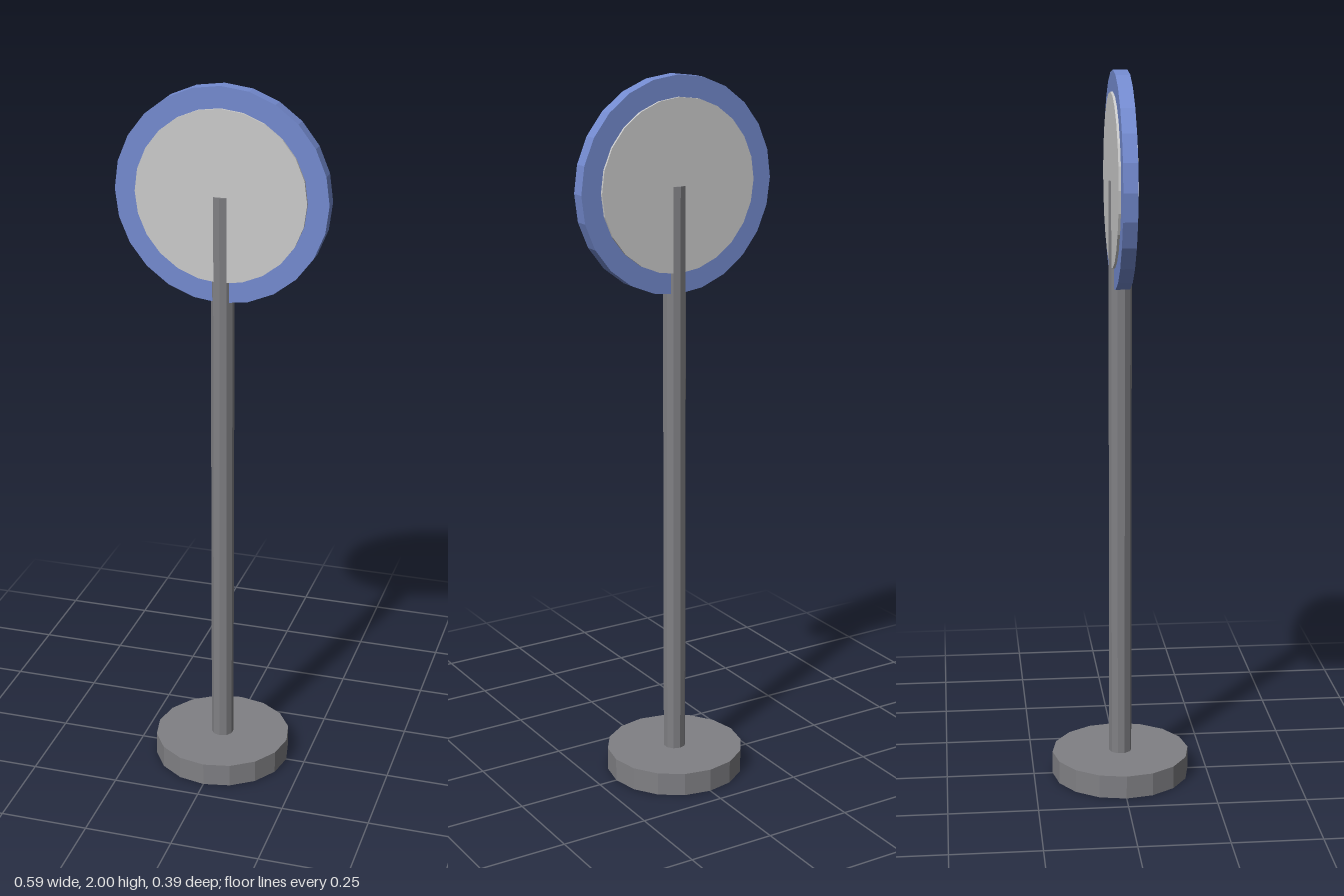
import * as THREE from 'three';

export function createModel() {
  const group = new THREE.Group();
  const metal = new THREE.MeshStandardMaterial({ color: 0x808084, flatShading: true });
  metal.name = 'grey metal';
  const blue = new THREE.MeshStandardMaterial({ color: 0x748bd0, flatShading: true });
  blue.name = 'blue rim';
  const pale = new THREE.MeshStandardMaterial({ color: 0xcccccc, flatShading: true });
  pale.name = 'pale face';

  // Low-poly disc or post centred at height y
  const addCylinder = (name, material, radius, length, sides, y, upright = true) => {
    const geometry = new THREE.CylinderGeometry(radius, radius, length, sides);
    if (!upright) geometry.rotateX(Math.PI / 2);
    const mesh = new THREE.Mesh(geometry, material);
    mesh.name = name;
    mesh.position.y = y;
    group.add(mesh);
  };

  const baseHeight = 0.066;
  const signY = 1.706;

  // Round foot and the post, which ends at the middle of the sign
  addCylinder('base', metal, 0.196, baseHeight, 16, baseHeight / 2);
  addCylinder('pole', metal, 0.032, signY - baseHeight, 10, (signY + baseHeight) / 2);

  // Round sign: blue rim with a slightly thicker pale disc showing on both sides
  addCylinder('signRim', blue, 0.294, 0.039, 24, signY, false);
  addCylinder('signFace', pale, 0.236, 0.052, 24, signY, false);

  return group;
}
